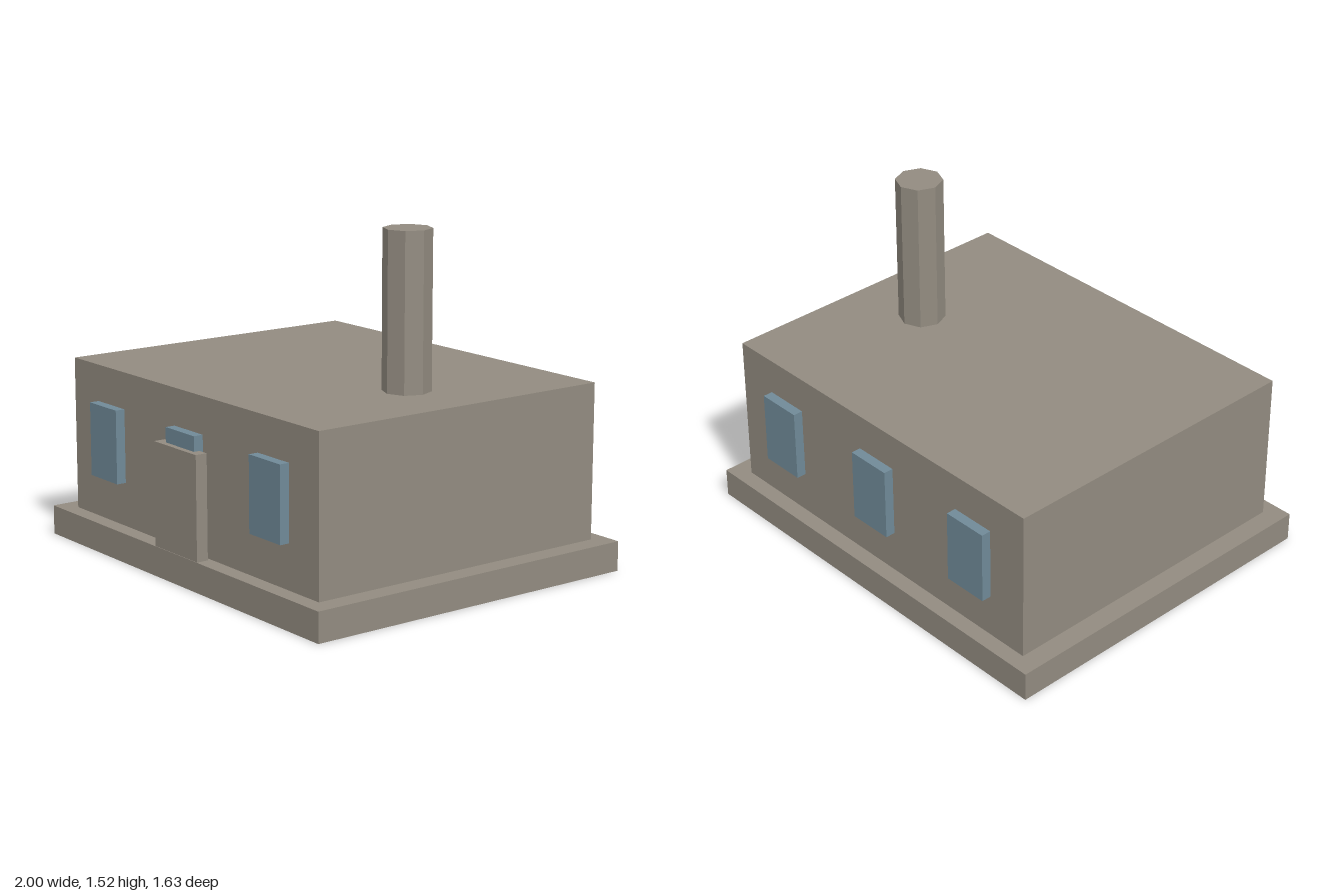
import * as THREE from 'three';

export function createModel() {
  const house = new THREE.Group();
  house.name = 'house';

  const stone = new THREE.MeshStandardMaterial({ color: 0x928b80 });
  stone.name = 'warm grey stone';
  stone.flatShading = true;
  const glass = new THREE.MeshStandardMaterial({ color: 0x708a98 });
  glass.name = 'blue glass';

  function add(name, geometry, material, x, y, z) {
    const mesh = new THREE.Mesh(geometry, material);
    mesh.name = name;
    mesh.position.set(x, y, z);
    house.add(mesh);
  }
  // Box placed by its bottom height
  function box(name, w, h, d, material, x, bottom, z) {
    add(name, new THREE.BoxGeometry(w, h, d), material, x, bottom + h / 2, z);
  }

  const baseTop = 0.133, wallTop = 0.83, wallZ = 0.742;

  // Plinth and main block
  box('base', 2, baseTop, 1.632, stone, 0, 0, 0);
  box('walls', 1.814, wallTop - baseTop, wallZ * 2, stone, 0, baseTop, 0);

  // Door slab standing just clear of the front wall
  box('door', 0.315, 0.464, 0.055, stone, 0, baseTop, 0.786);

  // Three windows on the front and three on the back
  for (const side of [1, -1]) {
    for (const x of [-0.605, 0, 0.605]) {
      box(side > 0 ? 'frontWindow' : 'backWindow',
        0.212, 0.333, 0.045, glass, x, 0.331, side * (wallZ + 0.0225));
    }
  }

  // Eight-sided chimney
  const chimneyHeight = 1.522 - wallTop;
  add('chimney', new THREE.CylinderGeometry(0.106, 0.106, chimneyHeight, 8),
    stone, 0.543, wallTop + chimneyHeight / 2, 0);

  return house;
}
